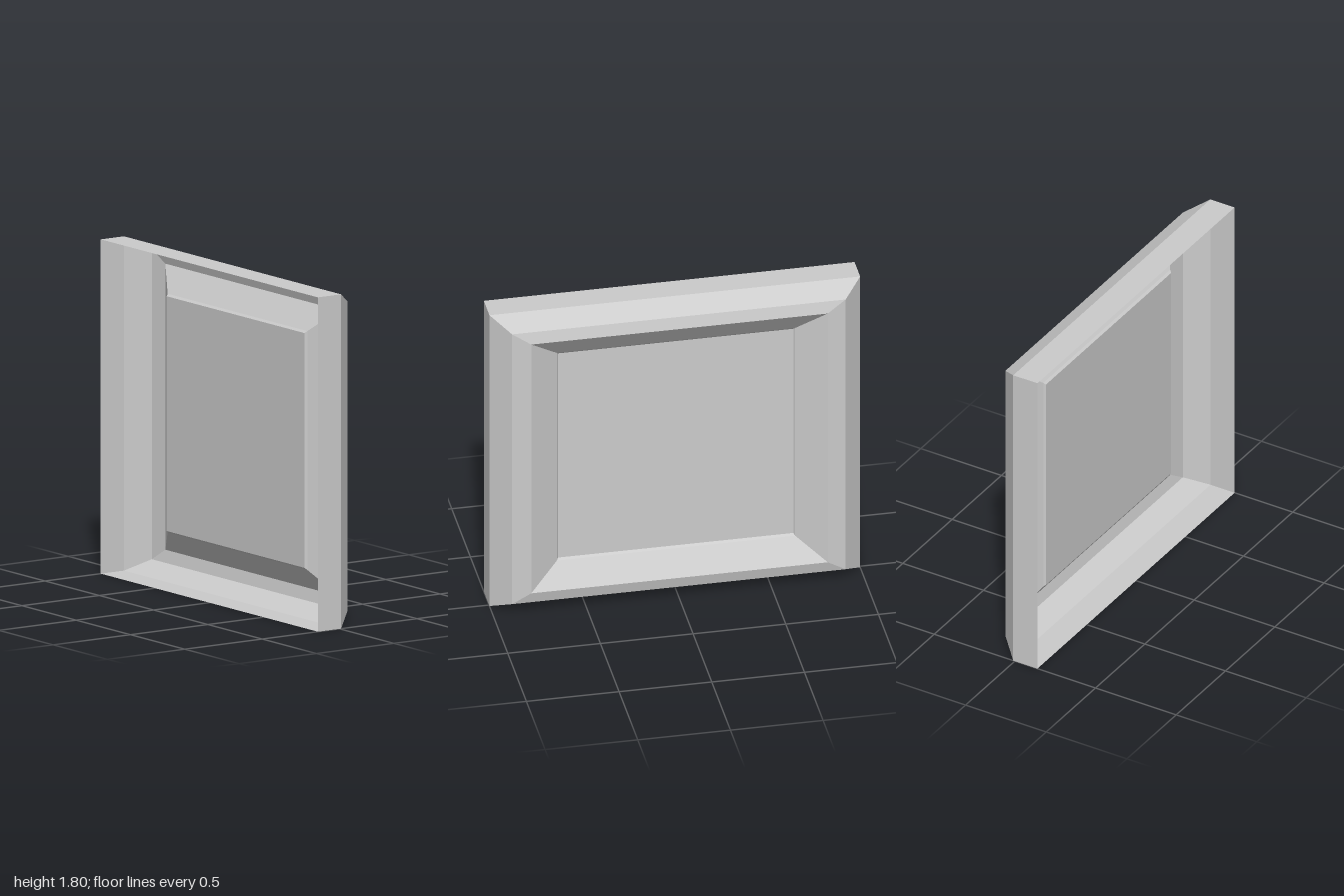
import * as THREE from 'three';

// Rectangular sections of the pressed shell, from open back rim to panel:
// [x, half width along z, half height along y]
const SECTIONS = [
  [-0.14, 1.0, 0.9],
  [0.01, 1.0, 0.9],
  [0.12, 0.9, 0.835],
  [0.137, 0.8, 0.77],
  [0.042, 0.643, 0.643],
  [0.03, 0.635, 0.632],
];
const BAND_NAMES = ['outerSide', 'outerBevel', 'frontRim', 'recessSlope', 'recessLip'];
const CENTER_Y = 0.9;

// Four corners of a section, counter-clockwise seen from +x
const corners = ([x, w, h]) =>
  [[1, -1], [-1, -1], [-1, 1], [1, 1]].map(([sz, sy]) => [x, CENTER_Y + sy * h, sz * w]);

function quadMesh(quads, name, material) {
  const positions = quads.flatMap(([a, b, c, d]) => [a, b, c, a, c, d].flat());
  const geometry = new THREE.BufferGeometry();
  geometry.setAttribute('position', new THREE.Float32BufferAttribute(positions, 3));
  geometry.computeVertexNormals();
  const mesh = new THREE.Mesh(geometry, material);
  mesh.name = name;
  return mesh;
}

export function createModel() {
  const group = new THREE.Group();
  group.name = 'framedPanel';
  const material = new THREE.MeshStandardMaterial({
    color: 0xcccccc, flatShading: true, side: THREE.DoubleSide,
  });

  // Mitred frame: one four-sided band between each pair of sections
  BAND_NAMES.forEach((name, i) => {
    const outer = corners(SECTIONS[i]);
    const inner = corners(SECTIONS[i + 1]);
    const quads = outer.map((p, k) => {
      const n = (k + 1) % 4;
      return [p, outer[n], inner[n], inner[k]];
    });
    group.add(quadMesh(quads, name, material));
  });

  // Flat sheet closing the recess; the back of the shell stays open
  group.add(quadMesh([corners(SECTIONS[SECTIONS.length - 1])], 'centerPanel', material));
  return group;
}
